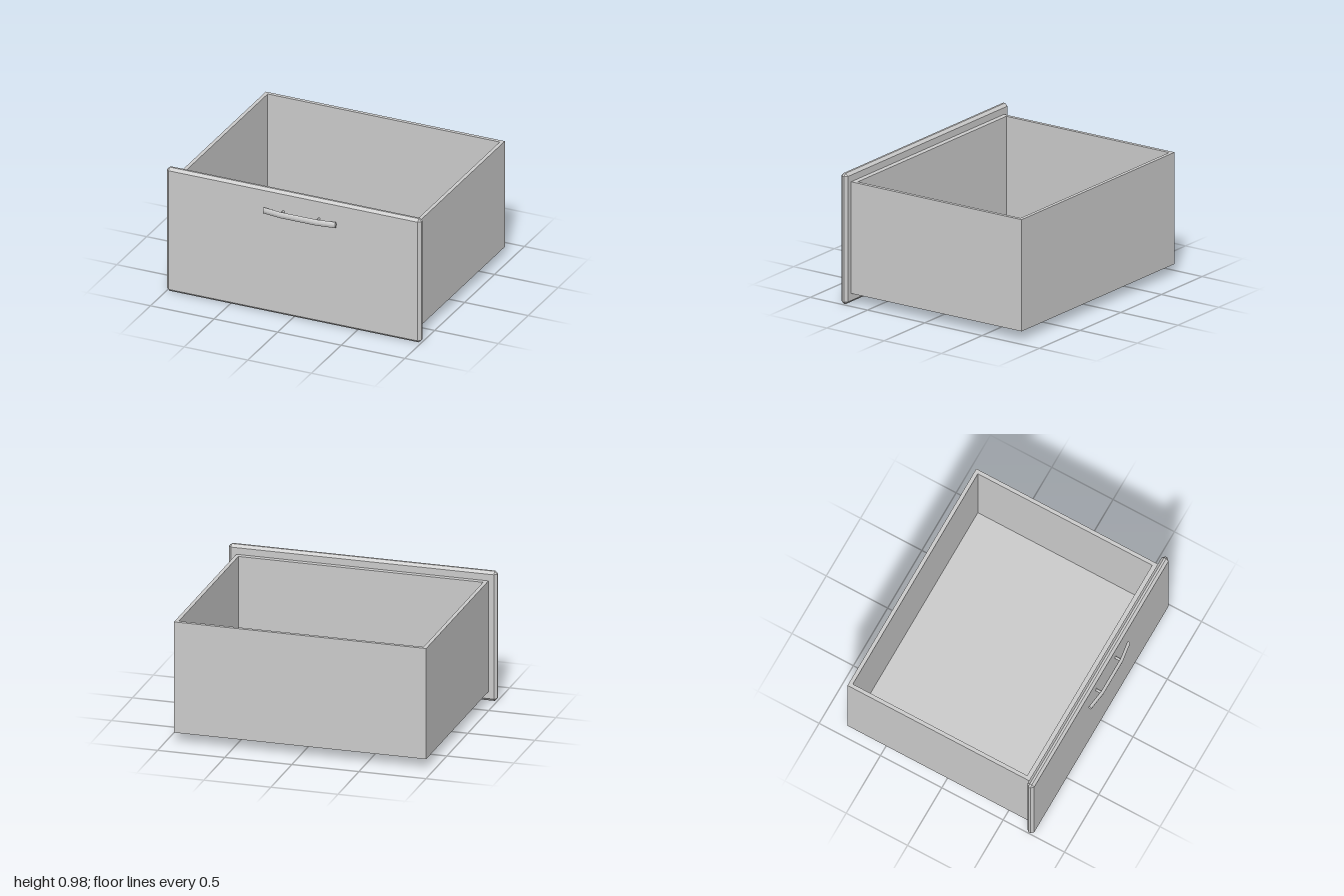
import * as THREE from 'three';
import { ConvexGeometry } from 'three/addons/geometries/ConvexGeometry.js';

const grey = new THREE.MeshStandardMaterial({ color: 0xcccccc });

function add(group, name, geometry, x = 0, y = 0, z = 0) {
  const mesh = new THREE.Mesh(geometry, grey);
  mesh.name = name;
  mesh.position.set(x, y, z);
  group.add(mesh);
}

// Box with every edge and corner cut by c
function chamferBox(w, h, d, c) {
  const points = [];
  for (const sx of [-1, 1]) for (const sy of [-1, 1]) for (const sz of [-1, 1]) {
    for (let axis = 0; axis < 3; axis++) {
      const p = [w / 2 - c, h / 2 - c, d / 2 - c];
      p[axis] += c;
      points.push(new THREE.Vector3(sx * p[0], sy * p[1], sz * p[2]));
    }
  }
  return new ConvexGeometry(points);
}

// Rectangle outline in plan, given by x half-width and z range
function planRect(Type, x, back, front) {
  return new Type([
    new THREE.Vector2(-x, -front), new THREE.Vector2(x, -front),
    new THREE.Vector2(x, -back), new THREE.Vector2(-x, -back),
  ]);
}

export function createModel() {
  const model = new THREE.Group();
  model.name = 'drawer';
  const bottom = 0.073, top = 0.91;

  // Four walls of the tray
  const plan = planRect(THREE.Shape, 0.94, -0.802, 0.687);
  plan.holes.push(planRect(THREE.Path, 0.912, -0.774, 0.647));
  const walls = new THREE.ExtrudeGeometry(plan, { depth: top - bottom, bevelEnabled: false });
  walls.rotateX(-Math.PI / 2);
  add(model, 'trayWalls', walls, 0, bottom, 0);

  // Floor fitted between the walls
  add(model, 'trayFloor', new THREE.BoxGeometry(1.824, 0.028, 1.421), 0, bottom + 0.014, -0.0635);

  // Front panel with chamfered edges
  add(model, 'frontPanel', chamferBox(2, 0.98, 0.056, 0.02), 0, 0.49, 0.714);

  // Handle: flattened bar with its ends bent back
  const handle = new THREE.Group();
  handle.name = 'handle';
  handle.position.set(0.065, 0.818, 0);
  const bar = new THREE.CylinderGeometry(0.012, 0.012, 3, 12, 3);
  bar.rotateZ(Math.PI / 2);
  bar.scale(1, 2, 1);
  const stations = [[-0.283, 0.771], [-0.14, 0.791], [0.14, 0.791], [0.283, 0.771]];
  const pos = bar.attributes.position;
  for (let i = 0; i < pos.count; i++) {
    const [x, z] = stations[Math.round(pos.getX(i) + 1.5)];
    pos.setX(i, x);
    pos.setZ(i, pos.getZ(i) + z);
  }
  bar.computeVertexNormals();
  add(handle, 'handleBar', bar);

  // Two flattened posts joining the bar to the panel
  for (const x of [-0.14, 0.14]) {
    const post = new THREE.CylinderGeometry(0.009, 0.009, 0.055, 12);
    post.rotateX(Math.PI / 2);
    post.scale(1, 2, 1);
    add(handle, 'handlePost', post, x, 0, 0.7625);
  }
  model.add(handle);
  return model;
}
